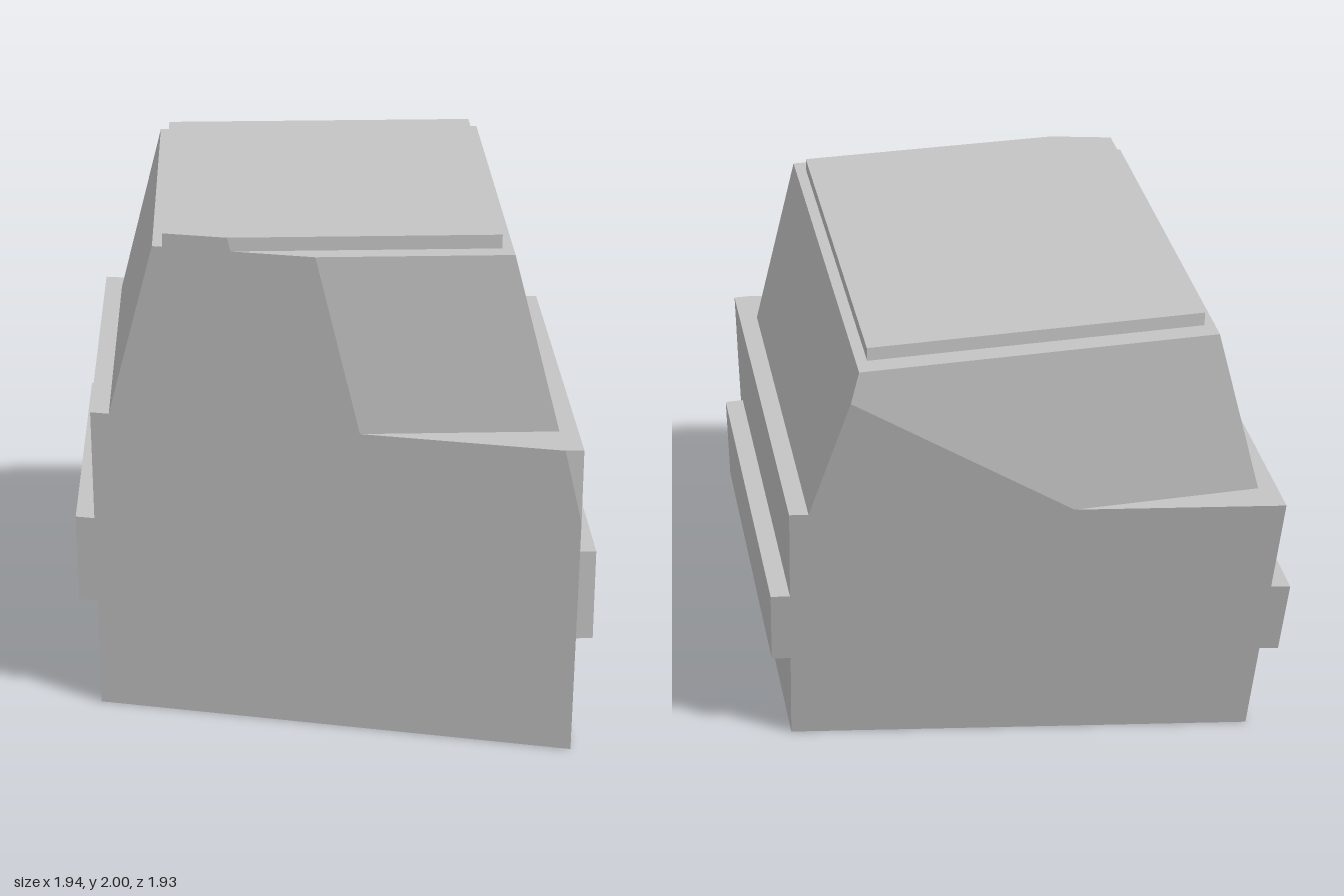
import * as THREE from 'three';
import { ConvexGeometry } from 'three/addons/geometries/ConvexGeometry.js';

// A half-space is [a, b, c, d]: points with a*x + b*y + c*z <= d are inside.
// Two slanted planes slice the whole stack, one at the front and one at the back.
const SLICES = [
  [-0.245, -0.058, 1, 0.69],
  [0.17, -0.247, -1, 0.503],
];

// Corners of the convex solid bounded by the given half-spaces.
function corners(planes) {
  const points = [];
  const n = planes.map(p => new THREE.Vector3(p[0], p[1], p[2]));
  for (let i = 0; i < n.length; i++)
    for (let j = i + 1; j < n.length; j++)
      for (let k = j + 1; k < n.length; k++) {
        const jk = n[j].clone().cross(n[k]);
        const det = n[i].dot(jk);
        if (Math.abs(det) < 1e-6) continue;
        const p = jk.multiplyScalar(planes[i][3])
          .addScaledVector(n[k].clone().cross(n[i]), planes[j][3])
          .addScaledVector(n[i].clone().cross(n[j]), planes[k][3])
          .divideScalar(det);
        const inside = planes.every((q, m) => n[m].dot(p) <= q[3] + 1e-6);
        if (inside && !points.some(q => q.distanceTo(p) < 1e-4)) points.push(p);
      }
  return points;
}

// Block with sloping sides (taper = inward slope per unit height), cut by the slices.
function slicedBlock(name, material, { x0, x1, y0, y1, z0, z1, taper = 0 }) {
  const planes = [
    [1, taper, 0, x1 + taper * y0],
    [-1, taper, 0, -x0 + taper * y0],
    [0, 1, 0, y1], [0, -1, 0, -y0],
    [0, 0, 1, z1], [0, 0, -1, -z0],
    ...SLICES,
  ];
  const mesh = new THREE.Mesh(new ConvexGeometry(corners(planes)), material);
  mesh.name = name;
  return mesh;
}

export function createModel() {
  const model = new THREE.Group();
  model.name = 'slicedBlockTower';
  const grey = new THREE.MeshStandardMaterial({ color: 0xc4c4c4 });
  grey.name = 'plain grey';

  // Main body, tapered upper section and thin cap
  model.add(
    slicedBlock('lowerBody', grey, { x0: -0.9, x1: 0.9, y0: 0, y1: 1.262, z0: -0.97, z1: 0.967 }),
    slicedBlock('upperBody', grey, { x0: -0.83, x1: 0.83, y0: 1.262, y1: 1.948, z0: -0.837, z1: 0.787, taper: 0.262 }),
    slicedBlock('topCap', grey, { x0: -0.613, x1: 0.61, y0: 1.948, y1: 2, z0: -0.765, z1: 0.713 }),
  );

  // Raised band on each side
  const band = { y0: 0.455, y1: 0.815, z0: -0.88, z1: 0.876 };
  model.add(
    slicedBlock('leftBand', grey, { x0: 0.9, x1: 0.972, ...band }),
    slicedBlock('rightBand', grey, { x0: -0.972, x1: -0.9, ...band }),
  );
  return model;
}
